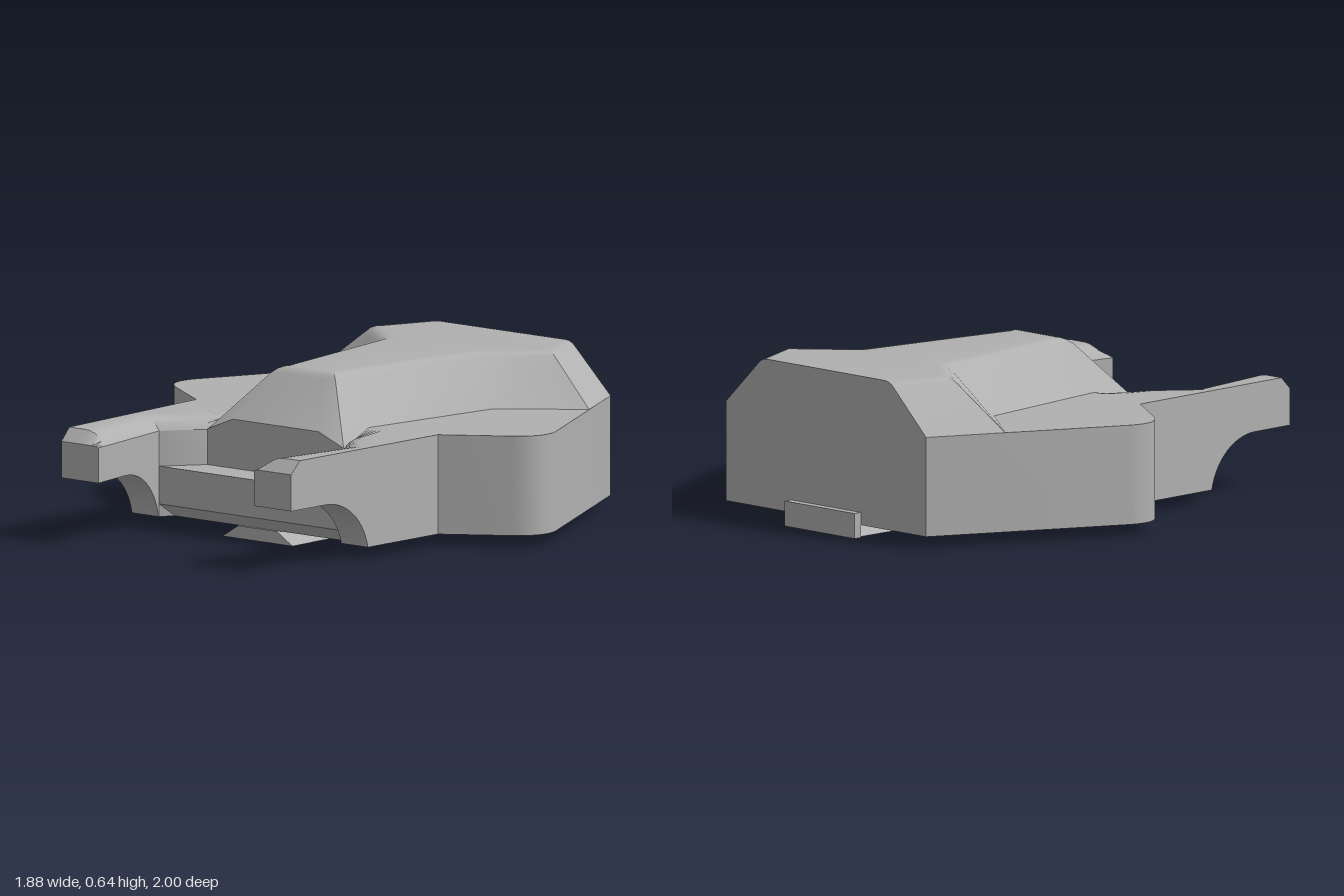
import * as THREE from 'three';
import { toCreasedNormals } from 'three/addons/utils/BufferGeometryUtils.js';

const grey = new THREE.MeshStandardMaterial({ color: 0xb0b0b0 });
grey.name = 'plain grey';

const DECK = 0.445, FLOOR = 0.05;

// Joins equal-length closed rings of [x, y, z] points; caps list extra quads or fans.
function loft(rings, caps = []) {
  const pos = [];
  const tri = (a, b, c) => pos.push(...a, ...b, ...c);
  for (let r = 0; r < rings.length - 1; r++) {
    const a = rings[r], b = rings[r + 1], n = a.length;
    for (let i = 0; i < n; i++) {
      const j = (i + 1) % n;
      tri(a[i], a[j], b[j]);
      tri(a[i], b[j], b[i]);
    }
  }
  for (const c of caps) for (let i = 1; i < c.length - 1; i++) tri(c[0], c[i], c[i + 1]);
  const g = new THREE.BufferGeometry();
  g.setAttribute('position', new THREE.Float32BufferAttribute(pos, 3));
  return toCreasedNormals(g, 0.55);
}

function addMesh(parent, name, geometry) {
  const mesh = new THREE.Mesh(geometry, grey);
  mesh.name = name;
  parent.add(mesh);
  return mesh;
}

function polygon(points) {
  return new THREE.Shape(points.map(([x, y]) => new THREE.Vector2(x, y)));
}

// Extrudes an x/y outline from z0 to z1.
function extrudeZ(points, z0, z1) {
  return new THREE.ExtrudeGeometry(polygon(points), { depth: z1 - z0, bevelEnabled: false })
    .translate(0, 0, z0);
}

// Wide main body with rounded side corners
function hullGeometry() {
  const s = new THREE.Shape(); // shape y is -z
  s.moveTo(-0.56, 0.965);
  s.lineTo(-0.927, 0.2);
  s.quadraticCurveTo(-0.97, 0.085, -0.86, 0.01);
  s.lineTo(-0.62, -0.15);
  s.lineTo(0.62, -0.15);
  s.lineTo(0.86, 0.01);
  s.quadraticCurveTo(0.97, 0.085, 0.927, 0.2);
  s.lineTo(0.56, 0.965);
  const g = new THREE.ExtrudeGeometry(s, { depth: DECK - FLOOR, bevelEnabled: false, curveSegments: 16 });
  g.rotateX(-Math.PI / 2).translate(0, FLOOR, 0);
  return toCreasedNormals(g, 0.5);
}

// Front arm with wheel-arch underside and rounded inner top edge
function armGeometry(side) {
  // z, inner x, drop of the inner edge
  const keys = [[0.14, 0.3, 0], [0.2, 0.31, 0], [0.4, 0.35, 0.055], [0.55, 0.47, 0.055],
    [0.95, 0.408, 0.055], [1, 0.4, 0.055]];
  const zs = keys.map((k) => k[0]);
  for (let i = 0; i <= 14; i++) {
    const a = 0.2014 + (i / 14) * (Math.PI / 2 - 0.2014);
    zs.push(0.8 - 0.25 * Math.cos(a));
  }
  zs.sort((a, b) => a - b);
  const rings = zs.map((z) => {
    let k = 0;
    while (k < keys.length - 2 && z > keys[k + 1][0]) k++;
    const t = (z - keys[k][0]) / (keys[k + 1][0] - keys[k][0]);
    const inner = THREE.MathUtils.lerp(keys[k][1], keys[k + 1][1], t);
    const drop = THREE.MathUtils.lerp(keys[k][2], keys[k + 1][2], t);
    const outer = 0.62 - 0.03 * (z - 0.15) / 0.85;
    let bottom = FLOOR;
    if (z > 0.8) bottom = 0.25;
    else if (z > 0.555) bottom = Math.sqrt(0.0625 - (z - 0.8) ** 2);
    const cap = DECK - Math.max(0, z - 0.95); // chamfered tip
    const ring = [[inner, bottom], [outer, bottom], [outer, cap]];
    for (let i = 0; i <= 5; i++) {
      const a = (i / 5) * 0.95;
      const f = Math.sin(a) / Math.sin(0.95);
      const d = (1 - Math.cos(a)) / (1 - Math.cos(0.95));
      ring.push([inner + 0.1 * (1 - f), Math.min(cap, DECK - drop * d)]);
    }
    const pts = ring.map(([x, y]) => [side * x, y, z]);
    return side > 0 ? pts : pts.reverse();
  });
  return loft(rings, [rings[rings.length - 1]]);
}

// Sloping cabin with waisted sides, rear shoulders and a soft upper edge
function cabinGeometry() {
  // base x, base y, base z, top x, top z
  const rows = [
    [0.22, DECK, 0.4, 0.08, 0.2],
    [0.35, 0.39, 0.4, 0.13, 0.2],
    [0.31, DECK, 0.2, 0.125, 0.17],
    [0.405, DECK, -0.44, 0.23, -0.54],
    [0.7, DECK, -0.67, 0.45, -0.73],
    [0.56, DECK, -0.965, 0.35, -0.965],
  ];
  const levels = [[0, 0], [0.84, 0.615], [0.93, 0.632], [1.02, 0.64], [1.12, 0.642]];
  const halves = levels.map(([f, y]) => rows.map(([bx, by, bz, tx, tz]) =>
    [bx + (tx - bx) * f, f ? y : by, bz + (tz - bz) * f]));
  const flip = ([x, y, z]) => [-x, y, z];
  const rings = halves.map((h) => [...h, ...h.map(flip).reverse()]);
  const top = halves[halves.length - 1];
  const caps = [];
  for (let i = 0; i < top.length - 1; i++)
    caps.push([top[i], top[i + 1], flip(top[i + 1]), flip(top[i])]);
  return loft(rings, caps);
}

export function createModel() {
  const model = new THREE.Group();
  model.name = 'vehicleBody';

  addMesh(model, 'hull', hullGeometry());
  addMesh(model, 'cabin', cabinGeometry());
  addMesh(model, 'leftArm', armGeometry(1));
  addMesh(model, 'rightArm', armGeometry(-1));

  // Upright wall under the windscreen
  addMesh(model, 'frontWall', extrudeZ([[-0.355, 0.2], [0.355, 0.2], [0.355, 0.39],
    [0.22, DECK], [-0.22, DECK], [-0.355, 0.39]], 0.1, 0.4));

  // Bumper ledge with a chamfered lower lip, extruded across the width
  const bumper = new THREE.ExtrudeGeometry(
    polygon([[-0.1, FLOOR], [-0.5, FLOOR], [-0.55, 0.1], [-0.55, 0.25], [-0.1, 0.25]]),
    { depth: 0.94, bevelEnabled: false });
  bumper.rotateY(Math.PI / 2).translate(-0.47, 0, 0);
  addMesh(model, 'bumper', bumper);

  // Underside rail, wider at the bottom, and the rear tab
  addMesh(model, 'rail', extrudeZ([[-0.18, 0], [0.18, 0], [0.1, FLOOR], [-0.1, FLOOR]], -0.98, 0.51));
  const tab = addMesh(model, 'rearTab', new THREE.BoxGeometry(0.39, 0.1, 0.035));
  tab.position.set(0, 0.05, -0.9825);

  return model;
}
